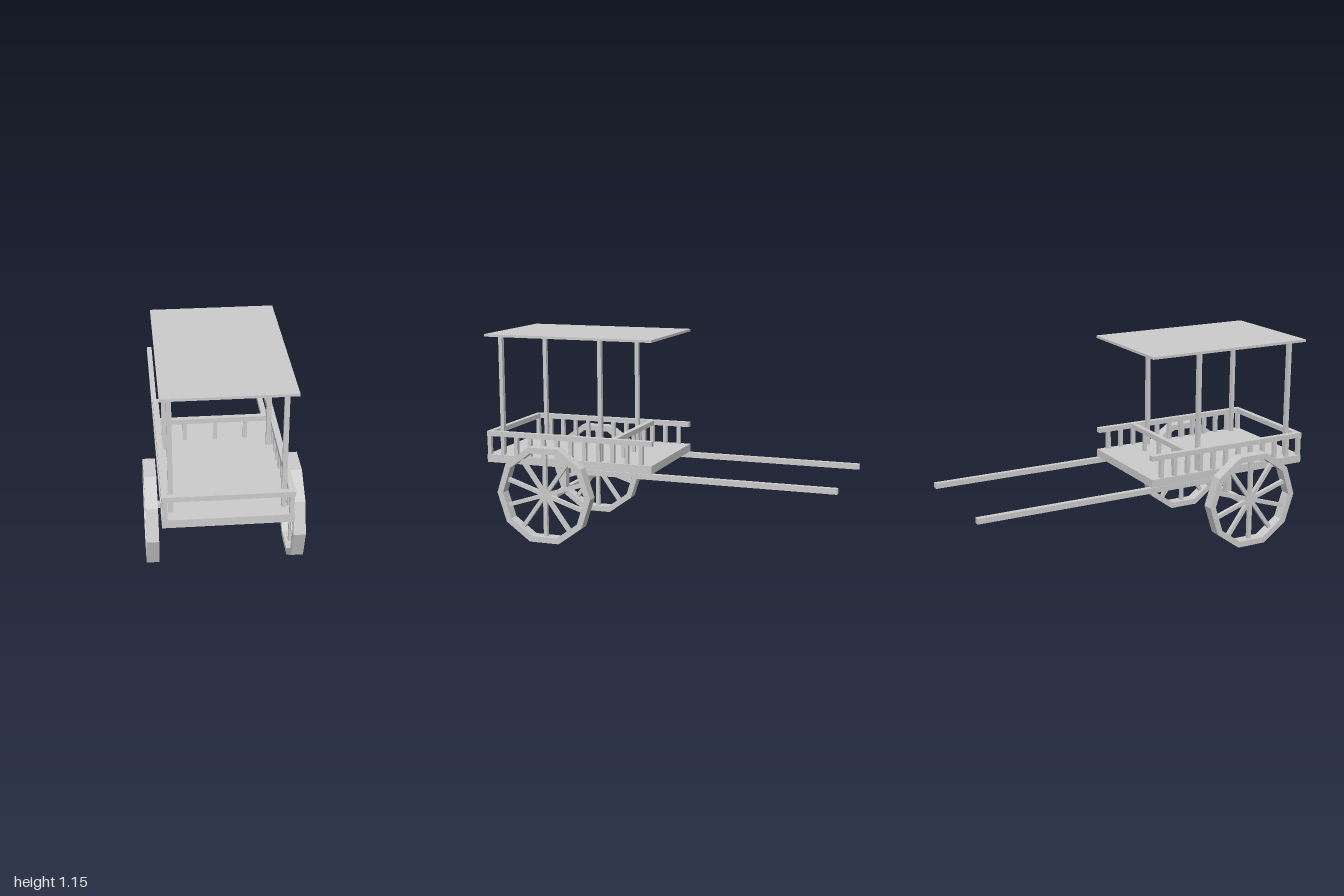
import * as THREE from 'three';

const material = new THREE.MeshStandardMaterial({ color: 0xcccccc, flatShading: true });

// Box given by its [min, max] range on each axis
function block(name, [x0, x1], [y0, y1], [z0, z1]) {
  const mesh = new THREE.Mesh(new THREE.BoxGeometry(x1 - x0, y1 - y0, z1 - z0), material);
  mesh.position.set((x0 + x1) / 2, (y0 + y1) / 2, (z0 + z1) / 2);
  mesh.name = name;
  return mesh;
}

// Ten-sided rim with a spoke to the middle of each side
function createWheel(name) {
  const wheel = new THREE.Group();
  wheel.name = name;
  const width = 0.064, sides = 10;
  const ring = (radius) => Array.from({ length: sides }, (_, i) => {
    const a = (i / sides) * Math.PI * 2;
    return new THREE.Vector2(Math.cos(a) * radius, Math.sin(a) * radius);
  });
  const shape = new THREE.Shape(ring(0.282));
  shape.holes.push(new THREE.Path(ring(0.247)));
  const rimGeometry = new THREE.ExtrudeGeometry(shape, { depth: width, bevelEnabled: false });
  rimGeometry.translate(0, 0, -width / 2).rotateY(Math.PI / 2);
  const rim = new THREE.Mesh(rimGeometry, material);
  rim.name = 'rim';
  wheel.add(rim);

  for (let i = 0; i < sides; i++) {
    const geometry = new THREE.BoxGeometry(0.022, 0.238, 0.022).translate(0, 0.119, 0);
    const spoke = new THREE.Mesh(geometry, material);
    spoke.rotation.x = (i / sides) * Math.PI * 2;
    spoke.name = 'spoke';
    wheel.add(spoke);
  }
  return wheel;
}

export function createModel() {
  const cart = new THREE.Group();
  cart.name = 'cart';

  const deckTop = 0.465, railY = [0.57, 0.598], balusterY = [deckTop, 0.57];
  cart.add(block('deck', [-0.33, 0.33], [0.42, deckTop], [0.01, 1]));
  cart.add(block('roof', [-0.33, 0.33], [1.131, 1.145], [0.01, 1]));
  cart.add(block('axle', [-0.36, 0.36], [0.256, 0.285], [0.557, 0.584]));

  // Front and rear cross rails; only the rear one has balusters
  cart.add(block('frontRail', [-0.298, 0.298], railY, [0.97, 1]));
  cart.add(block('rearRail', [-0.298, 0.298], railY, [0.225, 0.255]));
  for (const x of [-0.165, 0, 0.165]) {
    cart.add(block('rearBaluster', [x - 0.011, x + 0.011], balusterY, [0.23, 0.25]));
  }

  // Parts repeated on both sides
  for (const side of [-1, 1]) {
    const span = (inner, outer) => (side > 0 ? [inner, outer] : [-outer, -inner]);
    cart.add(block('sideRail', span(0.298, 0.33), railY, [0.01, 1]));
    for (let i = 0; i < 12; i++) {
      const z = 0.989 - i * 0.083;
      cart.add(block('sideBaluster', span(0.302, 0.325), balusterY, [z - 0.011, z + 0.011]));
    }
    for (const z of [0.325, 0.92]) {
      cart.add(block('roofPost', span(0.27, 0.295), [deckTop, 1.131], [z - 0.011, z + 0.011]));
    }
    cart.add(block('shaft', span(0.298, 0.328), [0.388, 0.418], [-1, 0.49]));
    cart.add(block('axleStrut', span(0.195, 0.242), [0.285, 0.42], [0.557, 0.584]));

    const wheel = createWheel(side > 0 ? 'leftWheel' : 'rightWheel');
    wheel.position.set(side * 0.374, 0.268, 0.622);
    cart.add(wheel);
  }
  return cart;
}
